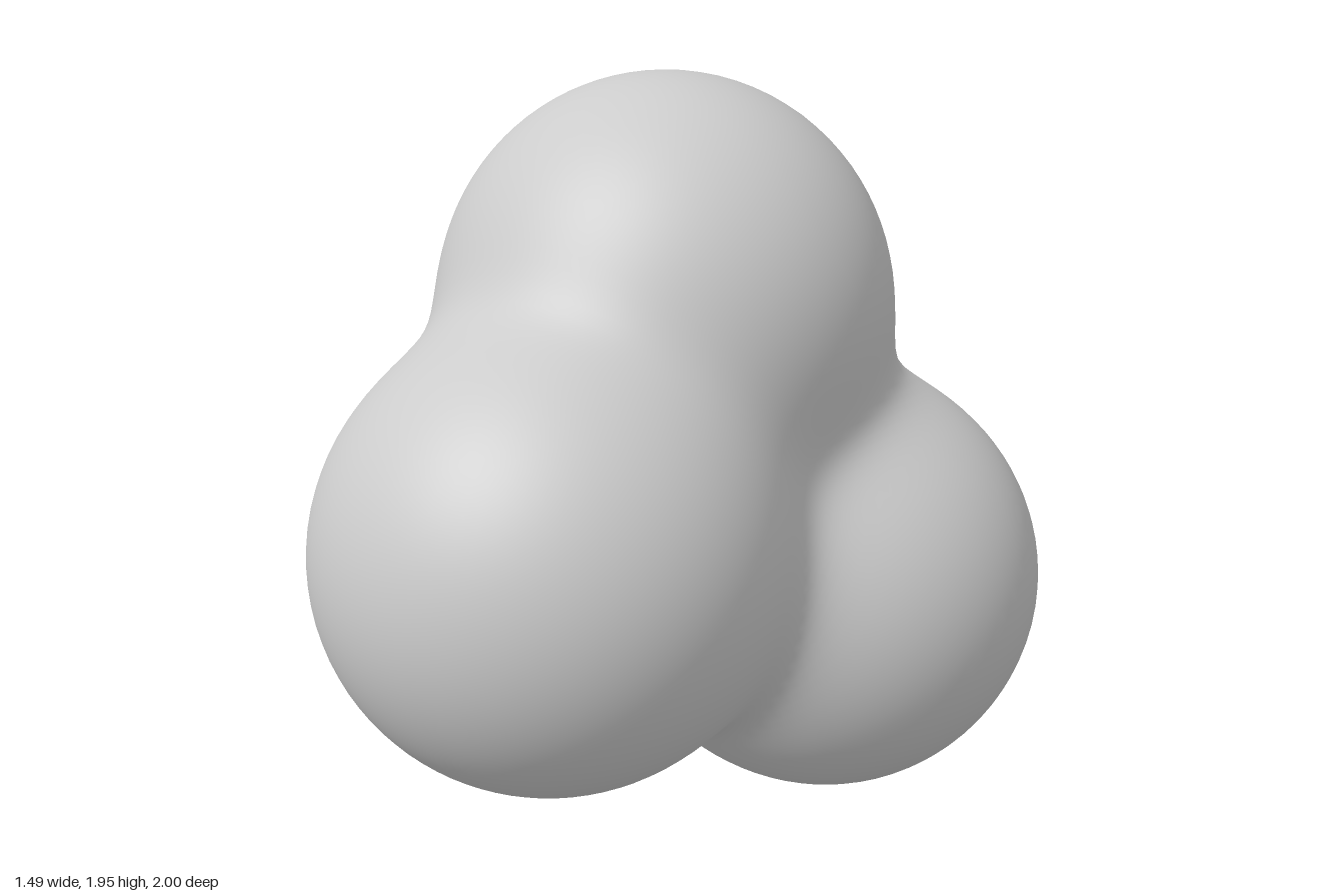
import * as THREE from 'three';
import { mergeVertices } from 'three/addons/utils/BufferGeometryUtils.js';

// Three equal balls melted into one body
const RADIUS = 0.585;
const BLEND = 0.075;
const BALLS = [
  new THREE.Vector3(-0.165, 1.365, -0.13), // upper ball
  new THREE.Vector3(-0.12, 0.855, 0.415), // front ball
  new THREE.Vector3(0.16, 0.585, -0.415), // rear ball
];

// Smooth union: below zero inside the body
function field(p) {
  let sum = 0;
  for (const c of BALLS) sum += Math.exp((RADIUS - p.distanceTo(c)) / BLEND);
  return -BLEND * Math.log(sum);
}

// Push every vertex of a sphere out along its ray until it meets the blended surface
function blendedGeometry() {
  let geometry = new THREE.IcosahedronGeometry(1, 24);
  geometry.deleteAttribute('uv');
  geometry.deleteAttribute('normal');
  geometry = mergeVertices(geometry, 1e-4);
  const core = new THREE.Vector3(-0.04, 0.93, -0.04); // lies inside all three balls
  const pos = geometry.attributes.position;
  const dir = new THREE.Vector3();
  const p = new THREE.Vector3();
  for (let i = 0; i < pos.count; i++) {
    dir.fromBufferAttribute(pos, i).normalize();
    let near = 0;
    let far = 2;
    for (let step = 0; step < 24; step++) {
      const mid = (near + far) / 2;
      p.copy(core).addScaledVector(dir, mid);
      if (field(p) < 0) near = mid;
      else far = mid;
    }
    pos.setXYZ(i, p.x, p.y, p.z);
  }
  geometry.computeVertexNormals();
  return geometry;
}

export function createModel() {
  const group = new THREE.Group();
  group.name = 'mergedBalls';
  const body = new THREE.Mesh(
    blendedGeometry(),
    new THREE.MeshStandardMaterial({ color: 0xcccccc })
  );
  body.name = 'blendedBody';
  group.add(body);
  return group;
}
